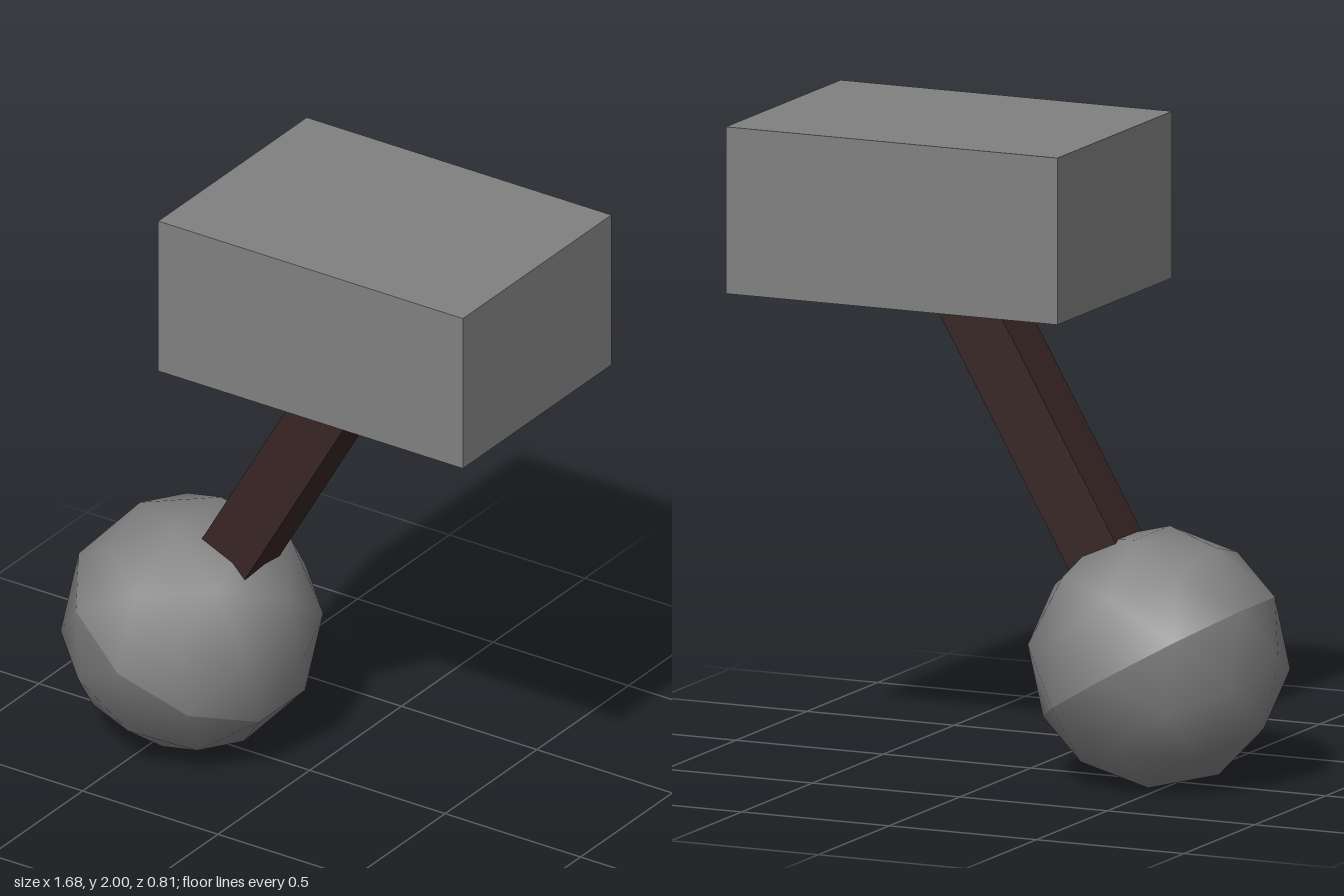
import * as THREE from 'three';
import { mergeVertices } from 'three/addons/utils/BufferGeometryUtils.js';

const TILT = -Math.PI / 6;
const AXIS = new THREE.Vector3(0.5, Math.sqrt(3) / 2, 0);
const BALL = new THREE.Vector3(-0.435, 0.385, 0);

// Half of a faceted ball, cut at its equator, with its own smooth normals
function halfBall(radius, side) {
  const source = new THREE.IcosahedronGeometry(radius, 1);
  // Bring one corner of the icosahedron onto the arm's axis
  source.rotateZ(Math.PI / 3 - Math.atan2((1 + Math.sqrt(5)) / 2, -1));
  const p = source.attributes.position;
  const kept = [];
  for (let i = 0; i < p.count; i += 3) {
    const corners = [0, 1, 2].map(k => new THREE.Vector3().fromBufferAttribute(p, i + k));
    const height = corners.reduce((sum, c) => sum + c.dot(AXIS), 0);
    if (height * side > 0) corners.forEach(c => kept.push(c.x, c.y, c.z));
  }
  const geometry = new THREE.BufferGeometry();
  geometry.setAttribute('position', new THREE.Float32BufferAttribute(kept, 3));
  const half = mergeVertices(geometry, 1e-4);
  half.computeVertexNormals();
  return half;
}

export function createModel() {
  const grey = new THREE.MeshStandardMaterial({ color: 0x808080 });
  grey.name = 'stone grey';
  const brown = new THREE.MeshStandardMaterial({ color: 0x382525 });
  brown.name = 'dark brown';

  const model = new THREE.Group();
  model.name = 'ballArmAndBlock';
  const add = (name, geometry, material, parent = model) => {
    const mesh = new THREE.Mesh(geometry, material);
    mesh.name = name;
    parent.add(mesh);
    return mesh;
  };

  // Ball at the foot, in two halves
  const ball = new THREE.Group();
  ball.name = 'ball';
  ball.position.copy(BALL);
  model.add(ball);
  add('upperHalf', halfBall(0.405, 1), grey, ball);
  add('lowerHalf', halfBall(0.405, -1), grey, ball);

  // Slanted square arm from the ball into the block
  const length = 1.4;
  const arm = add('arm', new THREE.BoxGeometry(0.185, length, 0.19), brown);
  arm.position.copy(BALL).addScaledVector(AXIS, length / 2);
  arm.rotation.z = TILT;

  // Block on top
  add('block', new THREE.BoxGeometry(1.125, 0.52, 0.81), grey).position.set(0.2775, 1.74, 0);

  return model;
}
